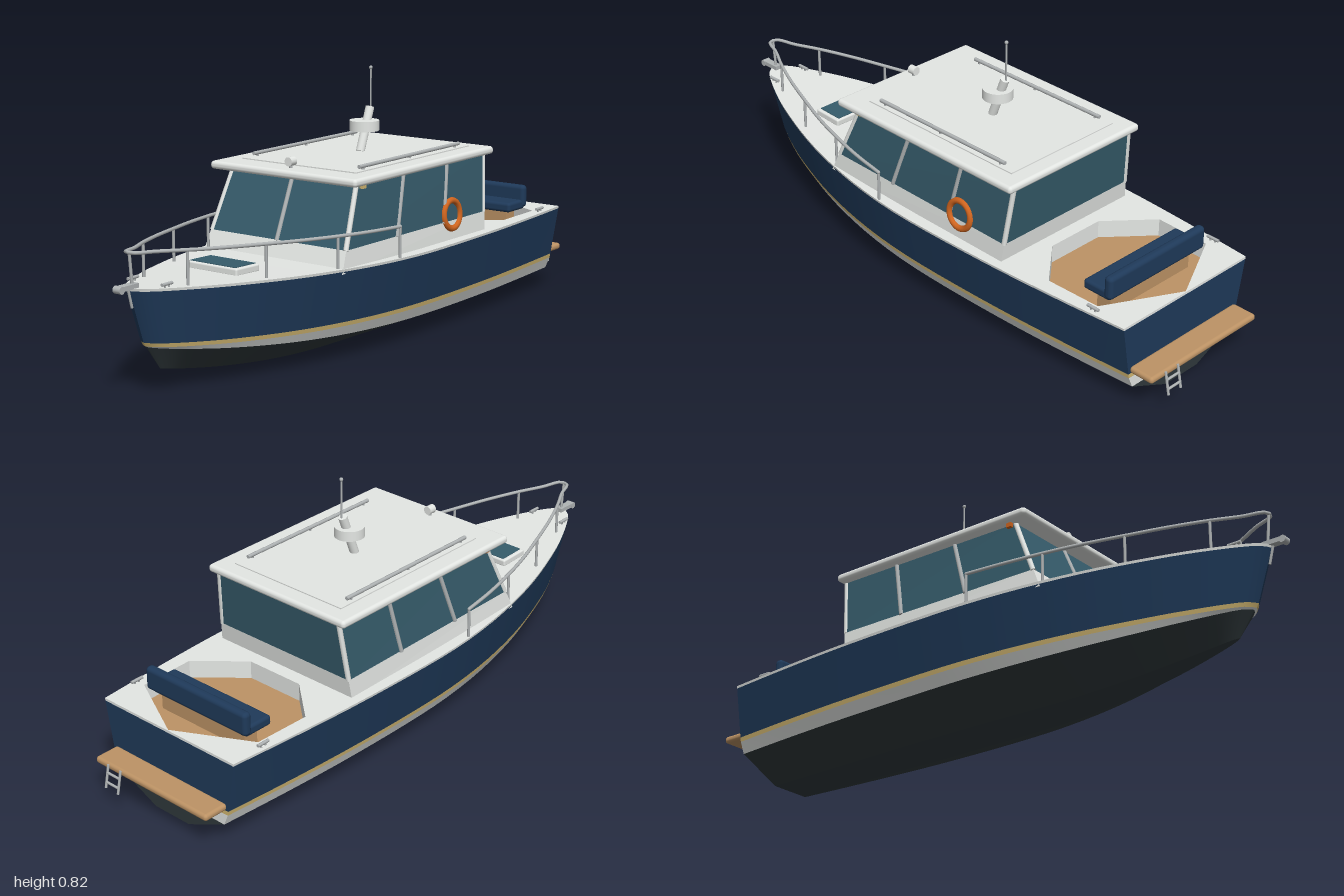
import * as THREE from 'three';
import { RoundedBoxGeometry } from 'three/addons/geometries/RoundedBoxGeometry.js';

const V = (x, y, z) => new THREE.Vector3(x, y, z);
const lerp = THREE.MathUtils.lerp;

function mat(name, color, side = THREE.FrontSide) {
  const m = new THREE.MeshStandardMaterial({ color, side });
  m.name = name;
  return m;
}

export function createModel() {
  const boat = new THREE.Group();
  boat.name = 'cabinBoat';
  const white = mat('white gelcoat', 0xe4e7e4, THREE.DoubleSide);
  const navy = mat('navy', 0x1f3a5a);
  const black = mat('bottom paint', 0x30393c);
  const gold = mat('gold', 0xd3b872);
  const glass = mat('tinted glass', 0x365c6b);
  const metal = mat('steel', 0xb0b4b5);
  const teak = mat('teak', 0xbd9365);
  const orange = mat('orange', 0xd0651f);

  const add = (name, geo, m, x = 0, y = 0, z = 0, parent = boat) => {
    const mesh = new THREE.Mesh(geo, m);
    mesh.name = name;
    mesh.position.set(x, y, z);
    parent.add(mesh);
    return mesh;
  };
  // Straight round bar between two points
  const rod = (name, a, b, r, m = metal, sides = 8) => {
    const mesh = add(name, new THREE.CylinderGeometry(r, r, a.distanceTo(b), sides), m);
    mesh.position.copy(a).lerp(b, 0.5);
    mesh.quaternion.setFromUnitVectors(V(0, 1, 0), b.clone().sub(a).normalize());
  };
  const fromData = (pos, idx) => {
    const g = new THREE.BufferGeometry();
    g.setAttribute('position', new THREE.Float32BufferAttribute(pos, 3));
    g.setIndex(idx);
    g.computeVertexNormals();
    return g;
  };

  // ---- Hull: lines running from transom (t = 0) to stem (t = 1), closer together at the bow
  const N = 32;
  const plan = new THREE.SplineCurve([[-0.9, 0.265], [-0.65, 0.286], [-0.4, 0.3], [-0.1, 0.305], [0.1, 0.297],
    [0.3, 0.27], [0.5, 0.223], [0.7, 0.154], [0.82, 0.1], [0.9, 0.056], [0.935, 0.028], [0.95, 0]]
    .map(p => new THREE.Vector2(...p)));
  const planPts = plan.getPoints(240);
  const beam = z => {
    const i = Math.max(1, planPts.findIndex(p => p.x >= z - 1e-6));
    const a = planPts[i - 1], b = planPts[i];
    return lerp(a.y, b.y, THREE.MathUtils.clamp((z - a.x) / (b.x - a.x), 0, 1));
  };
  const sheerY = z => 0.287 + 0.035 * Math.pow(Math.max(0, (z + 0.1) / 1.05), 1.6);
  const line = (zEnd, ratio, yOf) => Array.from({ length: N + 1 }, (_, i) => {
    const t = 1 - (1 - i / N) ** 1.6, z0 = -0.9 + 1.85 * t;
    return V(i === N ? 0 : beam(z0) * ratio, yOf(t, z0), -0.9 + (zEnd + 0.9) * t);
  });
  const keelY = (t, z) => 0.07 * Math.pow(Math.max(0, (z - 0.2) / 0.75), 2);
  const sheer = line(0.95, 1, (t, z) => sheerY(z));
  const underRail = line(0.947, 0.995, (t, z) => sheerY(z) - 0.008);
  const goldTop = line(0.895, 0.89, t => 0.118 + 0.04 * t ** 4);
  const goldLow = line(0.888, 0.88, t => 0.104 + 0.042 * t ** 4);
  const chine = line(0.88, 0.82, t => 0.067 + 0.075 * t ** 4);
  const keelEdge = line(0.83, 0.26, keelY);
  const keel = line(0.83, 0, keelY);

  // Band of planking between two lines on both sides, closed across the transom
  function strake(name, lo, hi, m) {
    const pos = [], idx = [];
    for (const s of [1, -1]) {
      const o = pos.length / 3;
      lo.forEach((p, i) => pos.push(s * p.x, p.y, p.z, s * hi[i].x, hi[i].y, hi[i].z));
      for (let i = 0; i < N; i++) {
        const a = o + 2 * i, b = a + 1, c = a + 2, d = a + 3;
        if (s > 0) idx.push(a, b, c, b, d, c);
        else idx.push(a, c, b, b, c, d);
      }
    }
    const o = pos.length / 3, l = lo[0], h = hi[0];
    pos.push(-l.x, l.y, l.z, -h.x, h.y, h.z, h.x, h.y, h.z, l.x, l.y, l.z);
    idx.push(o, o + 1, o + 3, o + 1, o + 2, o + 3);
    add(name, fromData(pos, idx), m);
  }
  strake('keelBottom', keel, keelEdge, black);
  strake('hullBottom', keelEdge, chine, black);
  strake('bootTop', chine, goldLow, white);
  strake('goldStripe', goldLow, goldTop, gold);
  strake('topsides', goldTop, underRail, navy);
  strake('rubRail', underRail, sheer, white);

  // ---- Deck: lofted forward part and flat aft part with a cockpit opening
  const split = 7, dPos = [], dIdx = [];
  sheer.slice(split).forEach((p, i) => {
    dPos.push(-p.x, p.y, p.z, p.x, p.y, p.z);
    if (i) dIdx.push(2 * i - 2, 2 * i, 2 * i - 1, 2 * i - 1, 2 * i, 2 * i + 1);
  });
  add('foredeck', fromData(dPos, dIdx), white);
  const flat = (g, y) => g.rotateX(-Math.PI / 2).translate(0, y, 0);
  const aft = sheer.slice(0, split + 1);
  const well = [[0, -0.897], [0.235, -0.775], [0.24, -0.59], [0.1, -0.47], [-0.1, -0.47], [-0.24, -0.59], [-0.235, -0.775]]
    .map(([x, z]) => new THREE.Vector2(x, -z));
  const aftShape = new THREE.Shape([...aft.map(p => new THREE.Vector2(p.x, -p.z)),
    ...aft.slice().reverse().map(p => new THREE.Vector2(-p.x, -p.z))]);
  aftShape.holes.push(new THREE.Path(well));
  add('aftDeck', flat(new THREE.ShapeGeometry(aftShape), 0.287), white);
  const soleY = 0.23;
  add('cockpitSole', flat(new THREE.ShapeGeometry(new THREE.Shape(well)), soleY), teak);
  well.forEach((p, i) => {
    const q = well[(i + 1) % well.length];
    add('cockpitWall', fromData([p.x, soleY, -p.y, q.x, soleY, -q.y, q.x, 0.287, -q.y, p.x, 0.287, -p.y],
      [0, 1, 2, 0, 2, 3]), white);
  });

  // ---- Stern bench
  add('benchBase', new THREE.BoxGeometry(0.34, 0.07, 0.05), teak, 0, 0.26, -0.74);
  add('benchSeat', new RoundedBoxGeometry(0.4, 0.032, 0.1, 3, 0.01), navy, 0, 0.305, -0.735);
  add('benchBack', new RoundedBoxGeometry(0.41, 0.075, 0.03, 3, 0.013), navy, 0, 0.332, -0.78);

  // ---- Cabin: u runs across, v runs aft to front, walls lean inward
  const cab = (u, v, y) => {
    const h = (y - 0.285) / 0.245, f = (v + 1) / 2;
    return V(u * lerp(lerp(0.268, 0.246, h), lerp(0.263, 0.236, h), f), y,
      lerp(lerp(-0.425, -0.452, h), lerp(0.33, 0.225, h), f));
  };
  const cabinBlock = (name, y0, y1, m) => {
    const g = new THREE.BoxGeometry(2, 2, 2).toNonIndexed(), p = g.attributes.position;
    for (let i = 0; i < p.count; i++) {
      const c = cab(p.getX(i), p.getZ(i), p.getY(i) > 0 ? y1 : y0);
      p.setXYZ(i, c.x, c.y, c.z);
    }
    g.computeVertexNormals();
    add(name, g, m);
  };
  cabinBlock('cabinBase', 0.28, 0.345, white);
  cabinBlock('cabinGlass', 0.345, 0.535, glass);
  const post = (name, u, v, r, m) => rod(name, cab(u, v, 0.343), cab(u, v, 0.53), r, m);
  for (const s of [1, -1]) {
    post('frontCornerPost', s * 0.985, 0.99, 0.008, white);
    post('aftCornerPost', s * 0.985, -0.99, 0.008, white);
    post('sidePost', s, 0.31, 0.007, metal);
    post('sidePost', s, -0.37, 0.007, metal);
  }
  post('windscreenMullion', 0, 1, 0.007, metal);

  // ---- Roof and its fittings
  add('roof', new RoundedBoxGeometry(0.55, 0.025, 0.75, 4, 0.011), white, 0, 0.54, -0.09);
  add('roofPanel', new THREE.BoxGeometry(0.43, 0.008, 0.61), white, 0, 0.552, -0.105);
  for (const s of [1, -1]) {
    rod('roofRail', V(s * 0.2, 0.566, -0.37), V(s * 0.2, 0.566, 0.165), 0.006);
    for (const z of [-0.35, -0.1, 0.145]) rod('roofRailFoot', V(s * 0.2, 0.553, z), V(s * 0.2, 0.566, z), 0.004);
    add('sideLight', new THREE.BoxGeometry(0.012, 0.014, 0.018), s < 0 ? orange : gold, s * 0.248, 0.521, 0.21);
  }
  rod('searchlight', V(0, 0.572, 0.222), V(0, 0.572, 0.248), 0.014, white, 12);
  rod('searchlightFoot', V(0, 0.55, 0.235), V(0, 0.57, 0.235), 0.005);
  rod('mast', V(0, 0.555, -0.117), V(0, 0.69, -0.168), 0.014, white, 16);
  add('radarDome', new THREE.CylinderGeometry(0.047, 0.047, 0.032, 28), white, 0, 0.635, -0.138);
  rod('antenna', V(0, 0.685, -0.172), V(0, 0.812, -0.172), 0.003);
  add('antennaTip', new THREE.SphereGeometry(0.006, 10, 8), metal, 0, 0.813, -0.172);

  // ---- Life ring lying against the left cabin wall
  const ring = add('lifeRing', new THREE.TorusGeometry(0.044, 0.01, 10, 32).rotateY(Math.PI / 2), orange,
    0.26, 0.364, -0.245);
  ring.rotation.z = 0.09;

  // ---- Bow rail with stanchions
  const railPt = (s, z) => V(s * (beam(z) - lerp(0.008, 0.028, Math.min(1, (z - 0.08) / 0.5))),
    0.384 + 0.037 * Math.pow((z - 0.08) / 0.86, 1.3), z);
  const railZ = [0.08, 0.2, 0.33, 0.45, 0.57, 0.69, 0.8, 0.88];
  const railPath = new THREE.CatmullRomCurve3([...railZ.map(z => railPt(-1, z)), V(-0.014, 0.421, 0.943),
    V(0.014, 0.421, 0.943), ...railZ.slice().reverse().map(z => railPt(1, z))]);
  add('bowRail', new THREE.TubeGeometry(railPath, 100, 0.0055, 8), metal);
  for (const s of [1, -1]) {
    for (const z of [0.08, 0.33, 0.57, 0.8]) {
      const p = railPt(s, z);
      rod('stanchion', V(p.x, sheerY(z) - 0.004, z), p, 0.0045);
    }
    add('railEnd', new THREE.SphereGeometry(0.0055, 8, 6), metal, s * railPt(1, 0.08).x, 0.384, 0.08);
  }
  rod('bowStanchion', V(0, 0.318, 0.935), V(0, 0.42, 0.945), 0.0045);

  // ---- Anchor roller and mooring cleats
  add('bowRoller', new THREE.BoxGeometry(0.024, 0.014, 0.07), metal, 0, 0.327, 0.957);
  const wheel = add('rollerWheel', new THREE.CylinderGeometry(0.011, 0.011, 0.026, 14), metal, 0, 0.325, 0.989);
  wheel.rotation.z = Math.PI / 2;
  rod('anchorShank', V(0, 0.318, 0.952), V(0, 0.265, 0.938), 0.004);
  for (const s of [1, -1]) {
    for (const [x, z] of [[0.063, 0.865], [0.26, -0.78]]) {
      const y = sheerY(z);
      rod('cleatBar', V(s * x, y + 0.01, z - 0.021), V(s * x, y + 0.01, z + 0.021), 0.005);
      for (const d of [-0.008, 0.008]) rod('cleatFoot', V(s * x, y - 0.002, z + d), V(s * x, y + 0.01, z + d), 0.003);
    }
  }

  // ---- Foredeck hatch, tilted with the deck
  const hatch = new THREE.Group();
  hatch.name = 'hatch';
  hatch.position.set(0, sheerY(0.555) + 0.008, 0.555);
  hatch.rotation.x = -0.03;
  boat.add(hatch);
  add('hatchFrame', new RoundedBoxGeometry(0.19, 0.024, 0.105, 2, 0.006), white, 0, 0, 0, hatch);
  add('hatchGlass', new THREE.BoxGeometry(0.168, 0.006, 0.09), glass, 0, 0.011, 0, hatch);

  // ---- Swim platform and ladder
  add('swimPlatform', new RoundedBoxGeometry(0.46, 0.022, 0.085, 3, 0.01), teak, 0, 0.13, -0.938);
  const ladderTop = [0.138, -0.981], ladderFoot = [0.066, -0.996];
  for (const x of [0.12, 0.172]) rod('ladderRail', V(x, ...ladderTop), V(x, ...ladderFoot), 0.004);
  for (const k of [0.35, 0.75]) {
    const y = lerp(ladderTop[0], ladderFoot[0], k), z = lerp(ladderTop[1], ladderFoot[1], k);
    rod('ladderRung', V(0.12, y, z), V(0.172, y, z), 0.004);
  }
  return boat;
}
